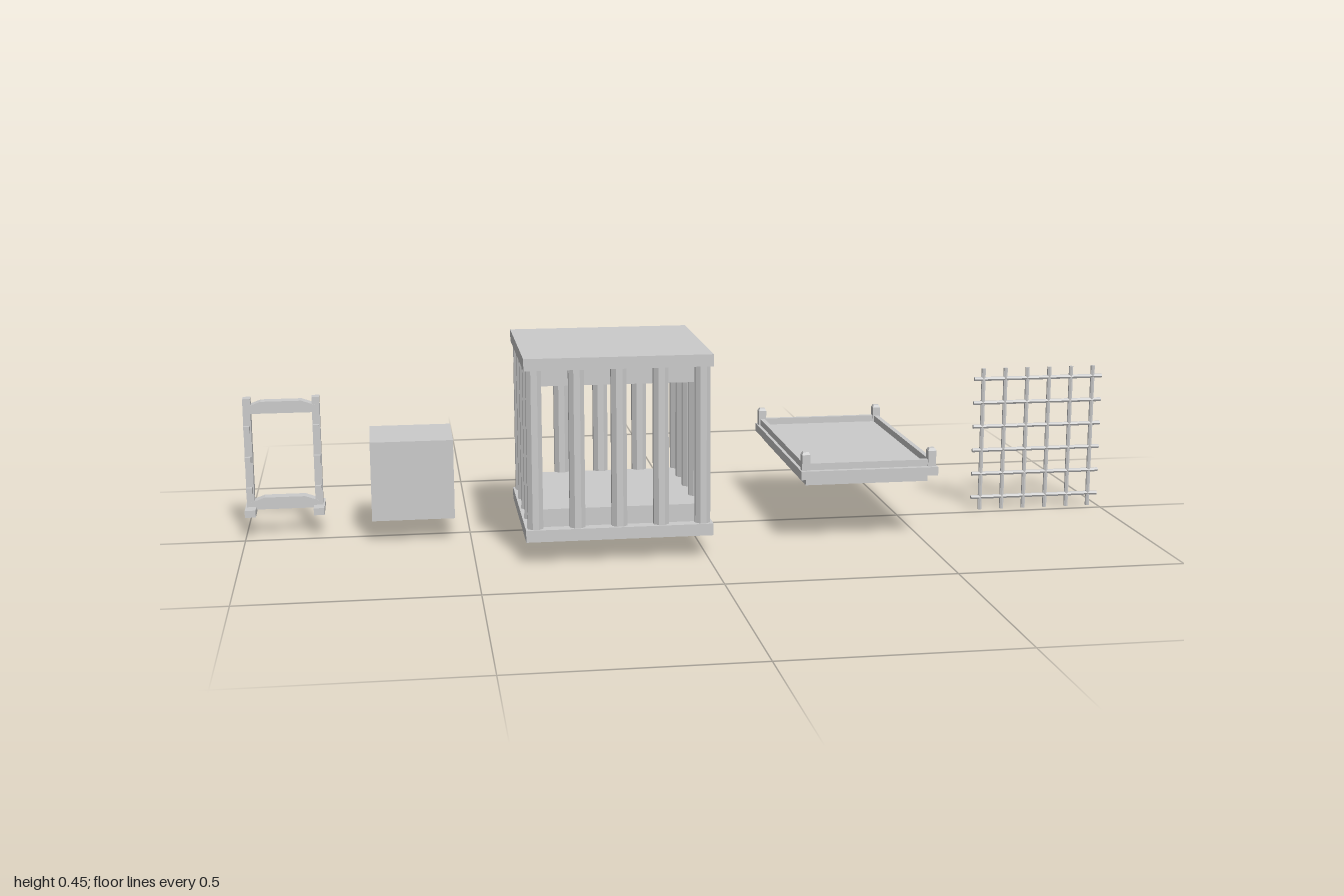
import * as THREE from 'three';

const mat = new THREE.MeshStandardMaterial({ color: 0xcccccc, flatShading: true });
const openMat = new THREE.MeshStandardMaterial({ color: 0xcccccc, flatShading: true, side: THREE.DoubleSide });

function add(parent, name, geo, x, y, z, material = mat) {
  const m = new THREE.Mesh(geo, material);
  m.name = name;
  m.position.set(x, y, z);
  parent.add(m);
  return m;
}

// Box given by its centre in x and z and its bottom and top in y
function slab(parent, name, x, z, w, d, y0, y1) {
  return add(parent, name, new THREE.BoxGeometry(w, y1 - y0, d), x, (y0 + y1) / 2, z);
}

// Square ring of beams standing from y0 to y1
function ring(parent, name, w, d, t, y0, y1) {
  for (const s of [-1, 1]) {
    slab(parent, name, 0, s * (d - t) / 2, w, t, y0, y1);
    slab(parent, name, s * (w - t) / 2, 0, t, d - 2 * t, y0, y1);
  }
}

function group(parent, name, x, z) {
  const g = new THREE.Group();
  g.name = name;
  g.position.set(x, 0, z);
  parent.add(g);
  return g;
}

function buildCage(root) {
  const g = group(root, 'cage', -0.191, 0.094);
  // Hollow lip under the floor
  ring(g, 'baseLip', 0.405, 0.405, 0.008, 0.05, 0.076);
  slab(g, 'baseLedge', 0, 0, 0.395, 0.395, 0.07, 0.076);
  slab(g, 'floorBlock', 0, 0, 0.35, 0.35, 0.076, 0.115);
  slab(g, 'ceilingBlock', 0, 0, 0.35, 0.35, 0.383, 0.422);
  slab(g, 'roof', 0, 0, 0.405, 0.405, 0.421, 0.447);
  // Octagonal bars, five to a side
  const bar = new THREE.CylinderGeometry(0.0178, 0.0178, 0.371, 8, 1, true, Math.PI / 8);
  for (let i = 0; i < 5; i++) {
    for (let j = 0; j < 5; j++) {
      if (i % 4 !== 0 && j % 4 !== 0) continue;
      add(g, 'bar', bar, (i - 2) * 0.0905, 0.2365, (j - 2) * 0.0905, openMat);
    }
  }
}

function buildTray(root) {
  const g = group(root, 'tray', 0.372, -0.028);
  slab(g, 'underside', 0, 0, 0.278, 0.476, 0.132, 0.152);
  slab(g, 'bed', 0, 0, 0.31, 0.535, 0.151, 0.17);
  ring(g, 'rail', 0.296, 0.51, 0.011, 0.17, 0.185);
  // Corner posts with chamfered tops
  for (const x of [-0.143, 0.143]) {
    for (const z of [-0.249, 0.249]) {
      slab(g, 'cornerPost', x, z, 0.018, 0.019, 0.17, 0.205);
      const cap = new THREE.CylinderGeometry(0.0085, 0.0127, 0.006, 4, 1, false, Math.PI / 4);
      add(g, 'postCap', cap, x, 0.208, z);
    }
  }
}

function buildGrate(root) {
  const g = group(root, 'grate', 0.843, -0.026);
  const upright = new THREE.CylinderGeometry(0.005, 0.005, 0.34, 6);
  const cross = new THREE.CylinderGeometry(0.005, 0.005, 0.312, 6).rotateZ(Math.PI / 2);
  for (let i = 0; i < 6; i++) {
    add(g, 'uprightRod', upright, (i - 2.5) * 0.0535, 0.17, 0);
    add(g, 'crossRod', cross, 0, 0.03 + i * 0.057, 0);
  }
}

// Rail with one long edge tapering at its ends
function railGeometry(w, h, d) {
  const s = new THREE.Shape();
  s.moveTo(-w / 2, 0);
  s.lineTo(w / 2, 0);
  s.lineTo(w / 2, h * 0.6);
  s.lineTo(w / 2 - 0.03, h);
  s.lineTo(-w / 2 + 0.03, h);
  s.lineTo(-w / 2, h * 0.6);
  return new THREE.ExtrudeGeometry(s, { depth: d, bevelEnabled: false }).translate(0, 0, -d / 2);
}

function buildRack(root) {
  const g = group(root, 'rack', -0.912, -0.061);
  const rail = railGeometry(0.15, 0.027, 0.03);
  add(g, 'topRail', rail, 0, 0.28, 0);
  add(g, 'bottomRail', rail, 0, 0.06, 0);
  for (const s of [-1, 1]) {
    slab(g, 'post', s * 0.076, 0, 0.017, 0.029, 0.06, 0.314);
    slab(g, 'foot', s * 0.076, 0, 0.024, 0.097, 0.05, 0.066);
    // Pegs poking out of both faces of each post
    for (let i = 0; i < 3; i++) {
      slab(g, 'peg', s * 0.076, 0, 0.012, 0.07, 0.1 + i * 0.07, 0.112 + i * 0.07);
      for (const e of [-1, 1]) {
        slab(g, 'pegTip', s * 0.076, e * 0.041, 0.013, 0.012, 0.1 + i * 0.07, 0.117 + i * 0.07);
      }
    }
  }
}

export function createModel() {
  const root = new THREE.Group();
  root.name = 'dungeonProps';
  buildRack(root);
  slab(root, 'block', -0.627, -0.028, 0.183, 0.181, 0.05, 0.229);
  buildCage(root);
  buildTray(root);
  buildGrate(root);
  return root;
}
